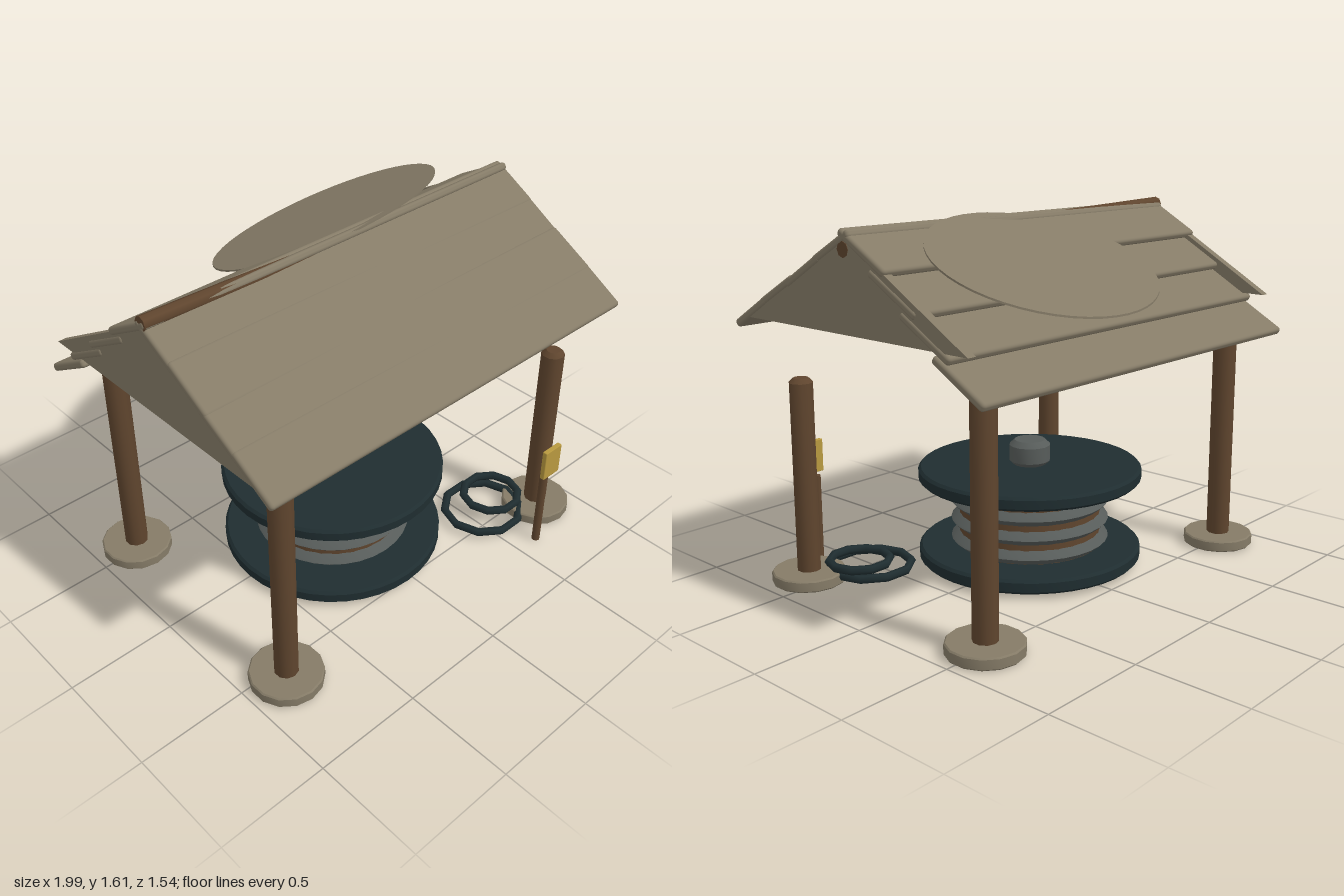
import * as THREE from 'three';
import { toCreasedNormals } from 'three/addons/utils/BufferGeometryUtils.js';
import { RoundedBoxGeometry } from 'three/addons/geometries/RoundedBoxGeometry.js';

const material = (name, color, extra = {}) => {
  const m = new THREE.MeshStandardMaterial({ color, ...extra });
  m.name = name;
  return m;
};

export function createModel() {
  const model = new THREE.Group();
  model.name = 'shelteredCableSpool';

  const weathered = material('weatheredBoard', 0x857b67);
  const wood = material('brownWood', 0x5f452e);
  const teal = material('darkTeal', 0x1f2d30);
  const grey = material('steelGrey', 0x575c5a);
  const yellow = material('yellowSign', 0xb8993f);

  const add = (name, geometry, mat, x = 0, y = 0, z = 0, parent = model) => {
    const mesh = new THREE.Mesh(geometry, mat);
    mesh.name = name;
    mesh.position.set(x, y, z);
    parent.add(mesh);
    return mesh;
  };

  // Turned solid with bevelled rims
  const turned = (r, y0, y1, bevel, sides) => {
    const pts = [[0, y0], [r - bevel, y0], [r, y0 + bevel], [r, y1 - bevel], [r - bevel, y1], [0, y1]];
    const g = new THREE.LatheGeometry(pts.map(p => new THREE.Vector2(...p)), sides);
    return toCreasedNormals(g, 0.7);
  };

  // Posts on round feet; the front left post is shorter
  for (const [x, z, h] of [[-0.81, 0.565, 1.135], [0.807, 0.565, 0.92], [-0.81, -0.515, 1.13], [0.807, -0.515, 1.13]]) {
    add('post', turned(0.053, 0, h, 0.02, 10), wood, x, 0, z);
    add('postFoot', turned(0.162, 0.003, 0.055, 0.006, 14), weathered, x, 0, z);
  }

  // Roof boards
  const roof = new THREE.Group();
  roof.name = 'roof';
  model.add(roof);
  const board = (name, y, z, width, pitch, roll) => {
    const b = add(name, new RoundedBoxGeometry(1.99, 0.036, width, 2, 0.014), weathered, 0, y, z, roof);
    b.rotation.set(pitch, 0, roll);
  };
  const pitch = 0.52;
  [0.115, 0.32, 0.52, 0.725].forEach((s, i) => {
    board('frontBoard', 1.578 - s * Math.sin(pitch), 0.005 + s * Math.cos(pitch), 0.25,
      pitch + (i % 2 ? 0.012 : -0.008), [0.001, -0.002, 0.002, 0][i]);
  });
  for (let i = 0; i < 4; i++) {
    board('backBoard', 1.515 - i * 0.139, -0.07 - i * 0.166, 0.29, -pitch, 0);
  }

  // Gable ends
  const triangle = new THREE.Shape([[-0.62, 1.195], [0.66, 1.195], [0.03, 1.575]].map(p => new THREE.Vector2(-p[0], p[1])));
  const gable = new THREE.ExtrudeGeometry(triangle, { depth: 0.04, bevelEnabled: false });
  gable.rotateY(Math.PI / 2);
  for (const x of [-0.99, 0.95]) add('gable', gable, weathered, x, 0, 0, roof);

  // Sloping ridge log
  const ridge = add('ridgeLog', new THREE.CylinderGeometry(0.032, 0.032, 1.985, 8), wood, 0, 1.551, 0.03, roof);
  ridge.rotation.z = Math.PI / 2 - 0.032;

  // Thin oval sheet tilted over the back of the roof
  const sheet = new THREE.CylinderGeometry(1, 1, 0.008, 48);
  const p = sheet.attributes.position;
  for (let i = 0; i < p.count; i++) {
    const u = p.getX(i), v = p.getZ(i);
    const x = 0.633 * u;
    const z = 0.413 * (v * Math.cos(0.2) - u * Math.sin(0.2));
    p.setXYZ(i, x, p.getY(i) + 0.41 * z + 0.07 * x, z);
  }
  add('ovalSheet', toCreasedNormals(sheet, 0.5), weathered, 0.268, 1.44, -0.355);

  // Cable spool
  const spool = new THREE.Group();
  spool.name = 'spool';
  spool.position.set(-0.055, 0, 0.027);
  model.add(spool);
  add('lowerFlange', turned(0.51, 0.023, 0.088, 0.012, 40), teal, 0, 0, 0, spool);
  add('upperFlange', turned(0.51, 0.393, 0.456, 0.012, 40), teal, 0, 0, 0, spool);
  add('hub', turned(0.094, 0.45, 0.57, 0.024, 14), grey, 0, 0, 0, spool);
  add('woodenCore', new THREE.CylinderGeometry(0.325, 0.325, 0.32, 28), wood, 0, 0.24, 0, spool);
  for (let i = 0; i < 4; i++) {
    // Angular winding, diamond in section
    const section = [[0.31, -0.042], [0.356, -0.007], [0.362, 0], [0.356, 0.007], [0.31, 0.042]];
    const ring = new THREE.LatheGeometry(section.map(q => new THREE.Vector2(...q)), 32);
    add('cableWinding', toCreasedNormals(ring, 0.5), grey, 0, 0.12 + i * 0.088, 0, spool);
  }

  // Loose hose loops beside the short post
  for (const [x, y, z, r] of [[0.565, 0.04, 0.435, 0.185], [0.635, 0.083, 0.425, 0.135]]) {
    const loop = add('hoseLoop', new THREE.TorusGeometry(r, 0.02, 6, 10), teal, x, y, z);
    loop.rotation.x = Math.PI / 2;
  }

  // Small sign on a stake
  add('signStake', new THREE.CylinderGeometry(0.019, 0.019, 0.407, 8), wood, 0.62, 0.2035, 0.73);
  add('signPlate', new RoundedBoxGeometry(0.107, 0.152, 0.024, 1, 0.004), yellow, 0.619, 0.49, 0.757);

  return model;
}
